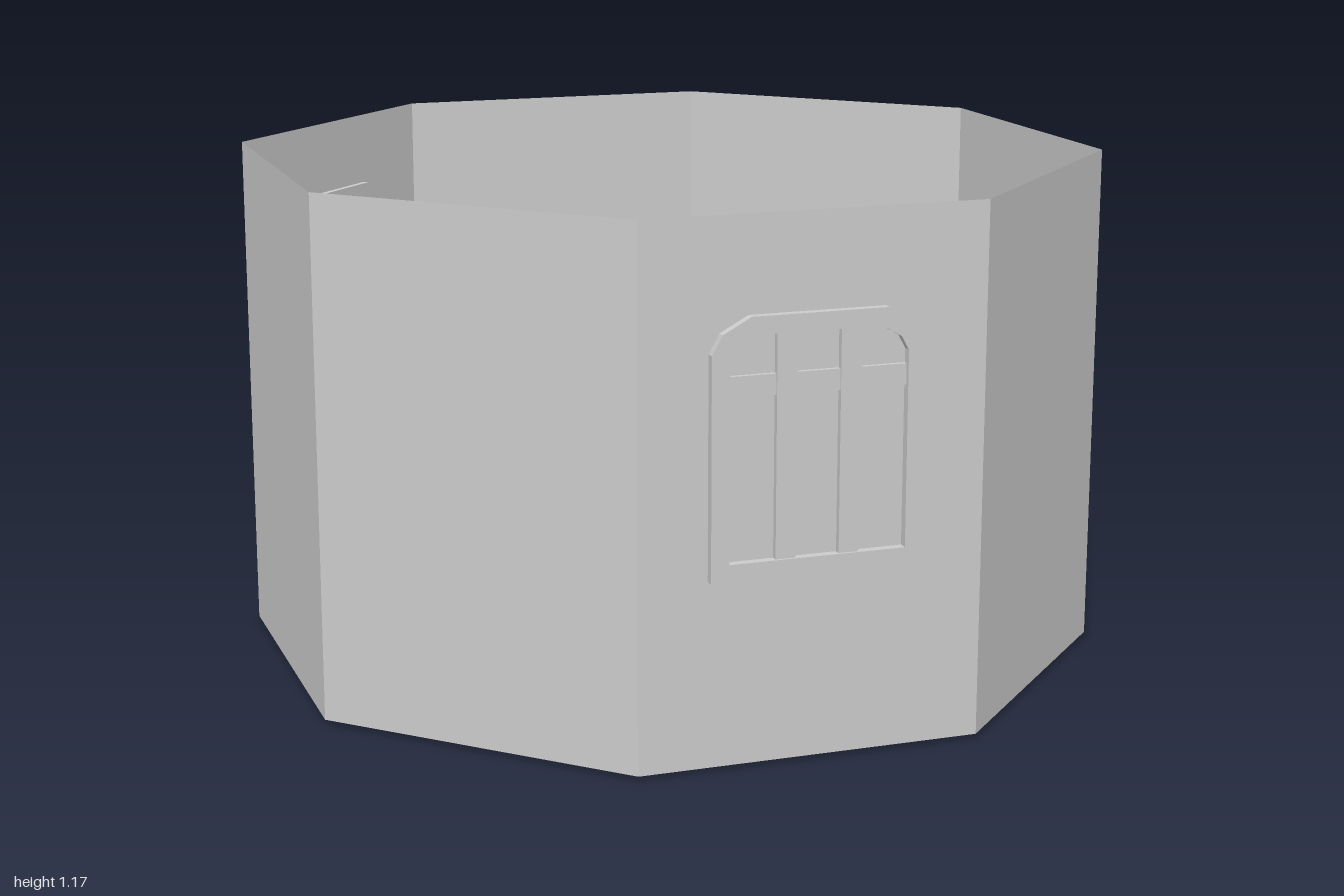
import * as THREE from 'three';

const material = new THREE.MeshStandardMaterial({ color: 0xcccccc, flatShading: true, side: THREE.DoubleSide });

function add(parent, name, geometry) {
  const mesh = new THREE.Mesh(geometry, material);
  mesh.name = name;
  parent.add(mesh);
  return mesh;
}

// Box given by its limits in wall space: u across, y up, n outward
function slab(parent, name, u0, u1, y0, y1, n0, n1) {
  const mesh = add(parent, name, new THREE.BoxGeometry(u1 - u0, y1 - y0, n1 - n0));
  mesh.position.set((u0 + u1) / 2, (y0 + y1) / 2, (n0 + n1) / 2);
}

// Group lying on one wall of the octagon, facing outward
function onWall(parent, name, degrees, shift) {
  const group = new THREE.Group();
  const angle = THREE.MathUtils.degToRad(degrees);
  const r = Math.cos(Math.PI / 8);
  group.name = name;
  group.rotation.y = angle;
  group.position.set(
    r * Math.sin(angle) + shift * Math.cos(angle), 0,
    r * Math.cos(angle) - shift * Math.sin(angle));
  parent.add(group);
  return group;
}

// Rectangle whose top corners are cut in two facets
function archPoints(half, y0, y1, cu, cy) {
  const right = [[half, y0], [half, y1 - cy], [half - cu * 0.27, y1 - cy * 0.45], [half - cu, y1]];
  const left = right.map(([u, y]) => [-u, y]).reverse();
  return [...right, ...left].map(([u, y]) => new THREE.Vector2(u, y));
}

function extrude(shape, n0, n1) {
  return new THREE.ExtrudeGeometry(shape, { depth: n1 - n0, bevelEnabled: false }).translate(0, 0, n0);
}

// Rectangular frame of four mitred sides, sloping down to the outer edge
function slopedFrame(parent, half, y0, y1, border, back, outerFront, innerFront) {
  const o = [[-half, y0], [half, y0], [half, y1], [-half, y1]];
  const i = o.map(([u, y]) => [u - Math.sign(u) * border, y === y0 ? y + border : y - border]);
  for (let k = 0; k < 4; k++) {
    const m = (k + 1) % 4;
    const shape = new THREE.Shape([o[k], o[m], i[m], i[k]].map(([u, y]) => new THREE.Vector2(u, y)));
    const geometry = extrude(shape, back, innerFront);
    const p = geometry.attributes.position;
    for (let v = 0; v < p.count; v++) {
      const outer = [o[k], o[m]].some(([u, y]) => Math.hypot(p.getX(v) - u, p.getY(v) - y) < 1e-4);
      if (outer && p.getZ(v) > 0) p.setZ(v, outerFront);
    }
    geometry.computeVertexNormals();
    add(parent, 'frameSide', geometry);
  }
}

export function createModel() {
  const model = new THREE.Group();
  model.name = 'octagonalRoom';

  // Thin open wall ring
  const walls = add(model, 'walls', new THREE.CylinderGeometry(1, 1, 1.165, 8, 1, true));
  walls.position.y = 0.5925;

  // Arched window in front
  const arched = onWall(model, 'archedWindow', 22.5, 0.003);
  const windowFrame = new THREE.Shape(archPoints(0.235, 0.415, 0.968, 0.085, 0.075));
  windowFrame.holes.push(new THREE.Path(archPoints(0.195, 0.453, 0.93, 0.06, 0.055)));
  add(arched, 'frame', extrude(windowFrame, -0.02, 0.02));
  for (const u of [-0.07, 0.07]) slab(arched, 'mullion', u - 0.022, u + 0.022, 0.445, 0.935, 0, 0.014);
  slab(arched, 'transom', -0.2, 0.2, 0.8, 0.845, -0.001, 0.01);

  // Arched door with a slightly recessed leaf and a handle
  const door = onWall(model, 'door', 112.5, 0.012);
  const doorFrame = new THREE.Shape([
    ...archPoints(0.203, 0, 0.637, 0.08, 0.07),
    ...archPoints(0.168, 0, 0.605, 0.065, 0.058).reverse(),
  ]);
  add(door, 'doorFrame', extrude(doorFrame, -0.027, 0.022));
  const leaf = new THREE.Shape(archPoints(0.17, 0.008, 0.607, 0.065, 0.058));
  add(door, 'doorLeaf', extrude(leaf, -0.015, 0.012));
  slab(door, 'handle', 0.073, 0.127, 0.311, 0.328, 0.01, 0.04);

  // Wide nine-pane window at the back
  const wide = onWall(model, 'latticeWindow', 157.5, -0.014);
  slopedFrame(wide, 0.27, 0.4, 0.85, 0.04, -0.016, 0.012, 0.019);
  for (const u of [-0.094, 0.094]) slab(wide, 'mullion', u - 0.022, u + 0.022, 0.435, 0.815, -0.009, 0.009);
  for (const y of [0.555, 0.682]) slab(wide, 'crossbar', -0.235, 0.235, y - 0.022, y + 0.022, -0.012, 0.014);

  // Small two-pane window on the other side
  const small = onWall(model, 'smallWindow', -112.5, 0.025);
  slopedFrame(small, 0.165, 0.67, 1.005, 0.04, -0.014, 0.012, 0.021);
  slab(small, 'crossbar', -0.13, 0.13, 0.818, 0.857, -0.001, 0.014);

  return model;
}
